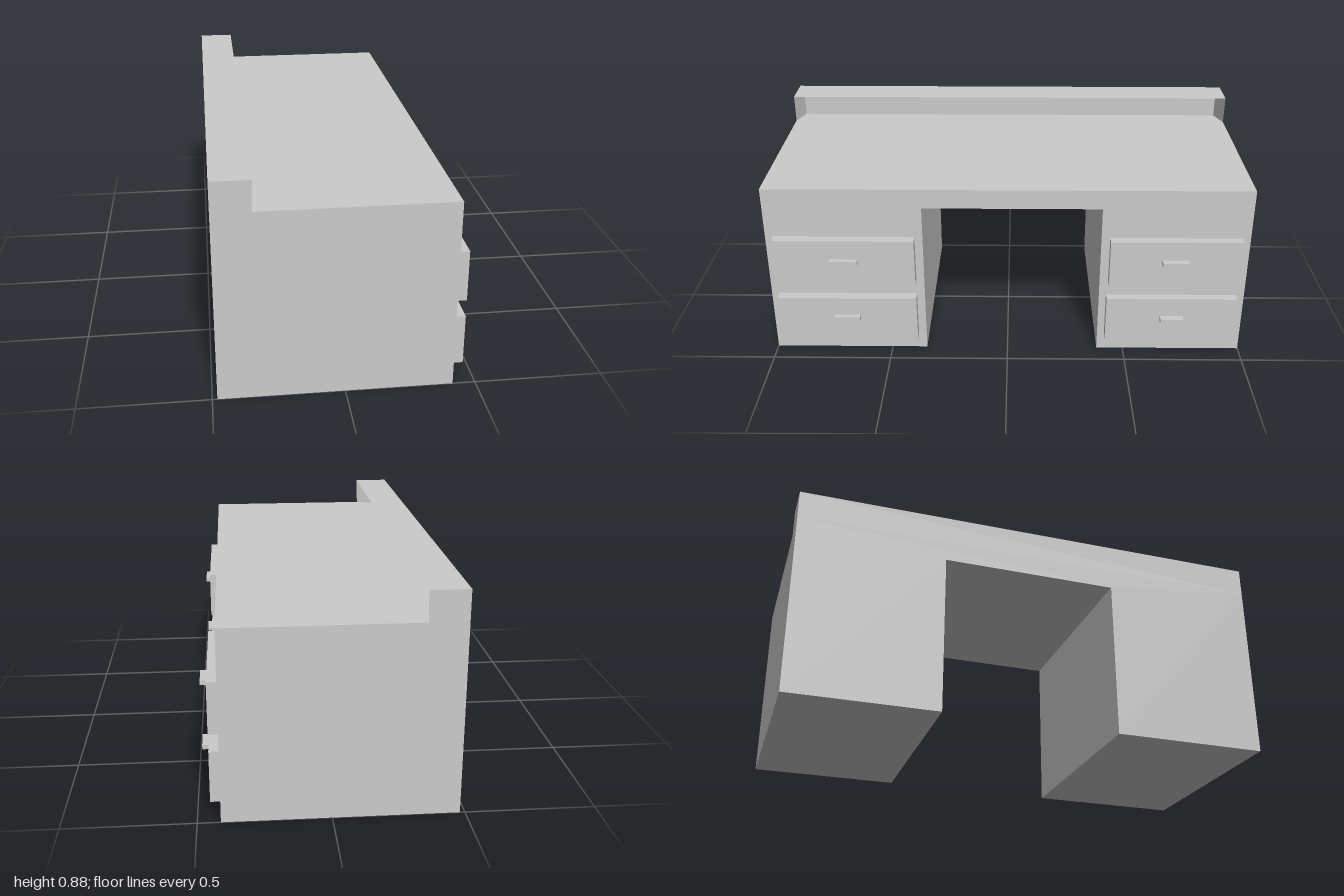
import * as THREE from 'three';

const material = new THREE.MeshStandardMaterial({ color: 0xcccccc, flatShading: true });

function addMesh(parent, name, geometry) {
  const mesh = new THREE.Mesh(geometry, material);
  mesh.name = name;
  parent.add(mesh);
  return mesh;
}

// Box given by its [min, max] range on each axis
function addBox(parent, name, [x0, x1], [y0, y1], [z0, z1]) {
  const mesh = addMesh(parent, name, new THREE.BoxGeometry(x1 - x0, y1 - y0, z1 - z0));
  mesh.position.set((x0 + x1) / 2, (y0 + y1) / 2, (z0 + z1) / 2);
}

// Two pedestals joined by the top, with an open kneehole between them
function bodyGeometry() {
  const outline = [
    [-1, 0], [-0.35, 0], [-0.35, 0.675], [0.387, 0.675],
    [0.387, 0], [1, 0], [1, 0.758], [-1, 0.758],
  ].map(([u, y]) => new THREE.Vector2(u, y));
  const geometry = new THREE.ExtrudeGeometry(new THREE.Shape(outline), { depth: 0.894, bevelEnabled: false });
  return geometry.rotateY(Math.PI / 2).translate(-0.481, 0, 0);
}

// Raised ledge whose front is pushed in with splayed top and ends
function ledgeGeometry() {
  const section = (x, xLow, halfWidth, top) => [
    [xLow, 0.758, halfWidth], [x, top, halfWidth], [x, top, -halfWidth], [xLow, 0.758, -halfWidth],
  ];
  const sections = [
    section(-0.481, -0.481, 1, 0.877),
    section(-0.33, -0.333, 1, 0.877),
    section(-0.42, -0.42, 0.97, 0.848),
  ];
  const positions = [];
  const quad = (a, b, c, d) => positions.push(...a, ...b, ...c, ...a, ...c, ...d);
  for (let s = 0; s < 2; s++) {
    for (let i = 0; i < 3; i++) {
      quad(sections[s][i], sections[s + 1][i], sections[s + 1][i + 1], sections[s][i + 1]);
    }
  }
  quad(...sections[0]);
  quad(...[...sections[2]].reverse());
  const geometry = new THREE.BufferGeometry();
  geometry.setAttribute('position', new THREE.Float32BufferAttribute(positions, 3));
  geometry.computeVertexNormals();
  return geometry;
}

export function createModel() {
  const desk = new THREE.Group();
  desk.name = 'desk';
  addMesh(desk, 'body', bodyGeometry());
  addMesh(desk, 'backLedge', ledgeGeometry());

  // Two drawers with bar handles on each pedestal
  const drawers = [
    { name: 'leftUpper', front: 0.457, y: [0.34, 0.544], z: [0.383, 0.967], handleY: [0.443, 0.461], handleZ: [0.617, 0.732] },
    { name: 'leftLower', front: 0.457, y: [0.07, 0.272], z: [0.383, 0.967], handleY: [0.174, 0.191], handleZ: [0.622, 0.73] },
    { name: 'rightUpper', front: 0.451, y: [0.34, 0.544], z: [-0.965, -0.423], handleY: [0.443, 0.461], handleZ: [-0.747, -0.638] },
    { name: 'rightLower', front: 0.451, y: [0.067, 0.272], z: [-0.965, -0.417], handleY: [0.172, 0.19], handleZ: [-0.742, -0.645] },
  ];
  for (const d of drawers) {
    const drawer = new THREE.Group();
    drawer.name = `${d.name}Drawer`;
    addBox(drawer, 'drawerFront', [0.405, d.front], d.y, d.z);
    addBox(drawer, 'drawerHandle', [d.front - 0.005, 0.481], d.handleY, d.handleZ);
    desk.add(drawer);
  }
  return desk;
}
